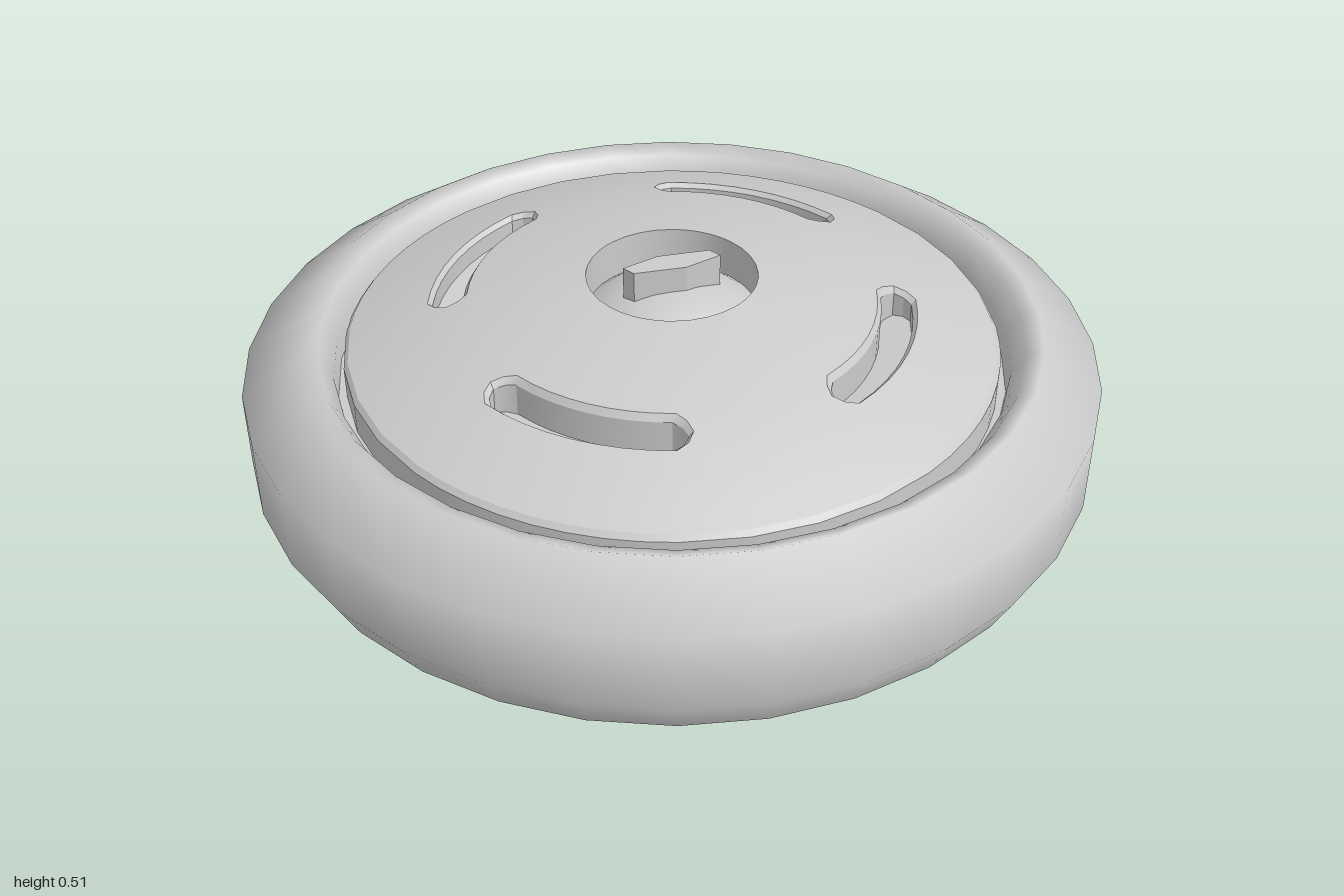
import * as THREE from 'three';
import { toCreasedNormals } from 'three/addons/utils/BufferGeometryUtils.js';

const SIDES = 32;
const DEG = Math.PI / 180;
const SLOT = { start: 1, end: 55, mid: 0.525, half: 0.047 };

const material = new THREE.MeshStandardMaterial({ color: 0xcccccc });

function addMesh(group, name, geometry) {
  const mesh = new THREE.Mesh(geometry, material);
  mesh.name = name;
  group.add(mesh);
  return mesh;
}

// Profile of [radius, height] pairs turned around y, with flats facing the axes
function turned(profile) {
  const points = profile.map(([r, y]) => new THREE.Vector2(r, y));
  return new THREE.LatheGeometry(points, SIDES, Math.PI / SIDES);
}

const domeHeight = (r) => 0.494 - 0.27 * r * r;

// Angle is measured from +z towards +x
const polar = (r, angle, y) =>
  new THREE.Vector3(r * Math.sin(angle * DEG), y, r * Math.cos(angle * DEG));

// Domed cover: a polar grid with four curved slots left open and walled
function coverGeometry() {
  const { start, end, mid, half } = SLOT;
  const slotRings = [-1, -0.6, 0, 0.6, 1].map((t) => mid + t * half);
  const rings = [0.2, 0.3, 0.39, ...slotRings, 0.63, 0.69, 0.76];
  const first = 3, last = 7;
  const slotCols = 8, gapCols = 4;
  const perSlot = slotCols + gapCols;
  const cols = perSlot * 4;
  const positions = [];

  const quad = (a, b, c, d) => {
    for (const p of [a, b, c, a, c, d]) positions.push(p.x, p.y, p.z);
  };

  // Grid corner as radius and angle; slot ends are rounded by the inset
  const corner = (i, j) => {
    const r = rings[i];
    const t = Math.min(1, Math.abs(r - mid) / half);
    const a0 = start + 4 * t * t, a1 = end - 4 * t * t;
    const turn = Math.floor(j / perSlot), k = j % perSlot;
    const angle = k <= slotCols
      ? a0 + (a1 - a0) * k / slotCols
      : a1 + (a0 + 90 - a1) * (k - slotCols) / gapCols;
    return { r, angle: angle + turn * 90 };
  };
  const surface = (i, j) => {
    const { r, angle } = corner(i, j);
    return polar(r, angle, domeHeight(r));
  };

  // Top surface
  for (let i = 0; i < rings.length - 1; i++) {
    for (let j = 0; j < cols; j++) {
      if (i >= first && i < last && j % perSlot < slotCols) continue;
      quad(surface(i, j), surface(i + 1, j), surface(i + 1, j + 1), surface(i, j + 1));
    }
  }

  // Bevelled outer edge and the wall of the central hole
  const rim = rings.length - 1;
  for (let j = 0; j < cols; j++) {
    const a = corner(rim, j).angle, b = corner(rim, j + 1).angle;
    quad(surface(rim, j + 1), surface(rim, j), polar(0.77, a, 0.325), polar(0.77, b, 0.325));
    quad(polar(0.77, b, 0.325), polar(0.77, a, 0.325), polar(0.77, a, 0.24), polar(0.77, b, 0.24));
    const c = corner(0, j).angle, d = corner(0, j + 1).angle;
    quad(surface(0, j), surface(0, j + 1), polar(0.2, d, 0.37), polar(0.2, c, 0.37));
  }

  // Bevel and wall around each slot
  for (let s = 0; s < 4; s++) {
    const j0 = s * perSlot, j1 = j0 + slotCols;
    const centre = (start + end) / 2 + s * 90;
    const loop = [];
    for (let i = first; i < last; i++) loop.push(corner(i, j0));
    for (let j = j0; j < j1; j++) loop.push(corner(last, j));
    for (let i = last; i > first; i--) loop.push(corner(i, j1));
    for (let j = j1; j > j0; j--) loop.push(corner(first, j));

    const lip = ({ r, angle }) => polar(r, angle, domeHeight(r));
    const inner = ({ r, angle }, floor) => {
      const ri = mid + (r - mid) * 0.78;
      return polar(ri, centre + (angle - centre) * 0.96, floor ? 0.31 : domeHeight(ri) - 0.014);
    };
    loop.forEach((p, n) => {
      const q = loop[(n + 1) % loop.length];
      quad(lip(p), lip(q), inner(q), inner(p));
      quad(inner(p), inner(q), inner(q, true), inner(p, true));
    });
  }

  const geometry = new THREE.BufferGeometry();
  geometry.setAttribute('position', new THREE.Float32BufferAttribute(positions, 3));
  return toCreasedNormals(geometry, 0.5);
}

export function createModel() {
  const model = new THREE.Group();
  model.name = 'roundHousing';

  // Rounded outer body with an inward-curling lip
  addMesh(model, 'outerBody', turned([
    [0.96, 0], [1.005, 0.09], [1.005, 0.28], [0.865, 0.37],
    [0.825, 0.352], [0.795, 0.3], [0.785, 0.22],
  ]));

  // Flat underside
  addMesh(model, 'base', turned([[0, 0], [0.96, 0]]));

  // Groove bottom and the shallow dish seen through the slots
  addMesh(model, 'innerFloor', toCreasedNormals(turned([
    [0.79, 0.25], [0.68, 0.25], [0.66, 0.36], [0.6, 0.357],
    [0.46, 0.332], [0.2, 0.315], [0, 0.315],
  ]).toNonIndexed(), 0.5));

  addMesh(model, 'slottedCover', coverGeometry());

  // Convex button set into the central hole
  addMesh(model, 'centreButton', turned([
    [0.201, 0.385], [0.17, 0.408], [0.12, 0.434], [0.06, 0.45], [0, 0.455],
  ]));

  // Slim tapered grip on the button
  const outline = [[0.016, -0.1], [0.05, -0.105], [0.04, -0.01], [-0.016, 0.1], [-0.05, 0.105], [-0.04, 0.01]];
  const shape = new THREE.Shape(outline.map(([x, z]) => new THREE.Vector2(x, -z)));
  const grip = new THREE.ExtrudeGeometry(shape, { depth: 0.095, bevelEnabled: false });
  grip.rotateX(-Math.PI / 2).translate(0, 0.42, 0);
  addMesh(model, 'grip', grip);

  return model;
}
